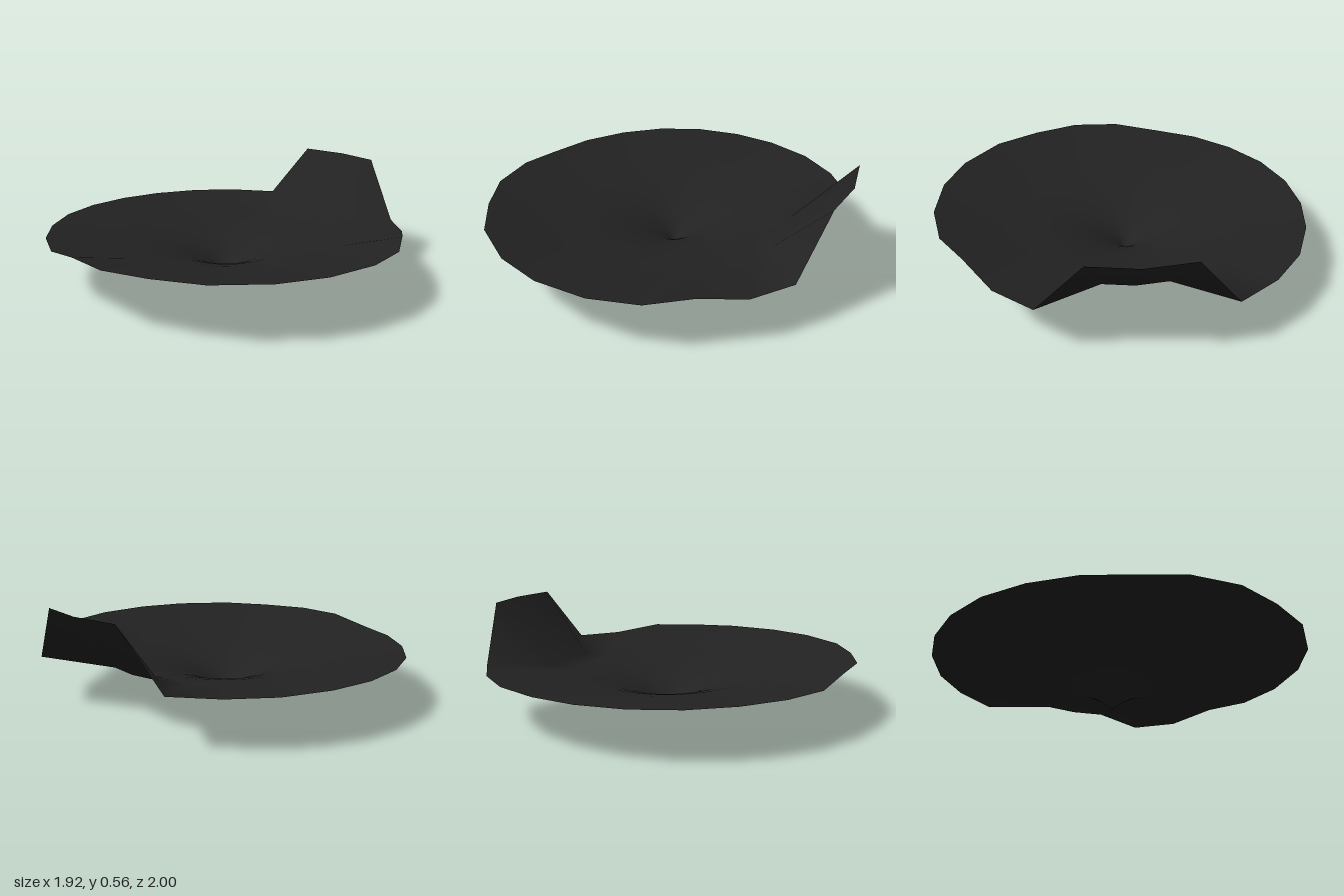
import * as THREE from 'three';

// Rim outline as [x, y, z], running round from the back centre past +x
const LOW = 0.255, LIP = 0.29, FLAP = 0.555;
const RIM = [
  [0, LOW, -1], [0.26, LOW, -0.97], [0.49, LOW, -0.87], [0.69, LOW, -0.71],
  [0.83, FLAP, -0.52], [0.93, FLAP, -0.28], [0.96, FLAP, -0.03],
  [0.93, LOW, 0.22], [0.83, LOW, 0.45], [0.67, 0.297, 0.65],
  [0.51, LIP, 0.83], [0.28, LIP, 0.95], [0, LIP, 1], [-0.26, LIP, 0.97],
  [-0.53, LIP, 0.85], [-0.72, LIP, 0.66], [-0.87, LIP, 0.45], [-0.93, LIP, 0.2],
  [-0.96, LOW, -0.05], [-0.92, LOW, -0.3], [-0.82, LOW, -0.53],
  [-0.67, LOW, -0.73], [-0.47, LOW, -0.88], [-0.24, LOW, -0.97],
];
// Inner rings as [fraction of the rim radius, height]
const RINGS = [
  [0.03, 0.026], [0.07, 0.056], [0.13, 0.09], [0.21, 0.124],
  [0.31, 0.155], [0.42, 0.18], [0.54, 0.2], [0.66, 0.217],
];
const CENTRE_Z = -0.04;

function bowlGeometry() {
  const n = RIM.length;
  const positions = [0, 0, CENTRE_Z];
  for (const [t, y] of RINGS) {
    for (const [x, , z] of RIM) positions.push(x * t, y, CENTRE_Z + (z - CENTRE_Z) * t);
  }
  for (const p of RIM) positions.push(...p);

  const index = [];
  for (let i = 0; i < n; i++) {
    const j = (i + 1) % n;
    index.push(0, 1 + j, 1 + i); // fan at the pointed centre
    for (let r = 0; r < RINGS.length; r++) {
      const a = 1 + r * n + i, b = 1 + r * n + j; // inner pair
      const c = a + n, d = b + n; // outer pair
      // Split each quad from its lower outer corner, so the flap folds cleanly
      if (RIM[i][1] < RIM[j][1]) index.push(a, b, c, b, d, c);
      else index.push(a, d, c, a, b, d);
    }
  }
  const geometry = new THREE.BufferGeometry();
  geometry.setAttribute('position', new THREE.Float32BufferAttribute(positions, 3));
  geometry.setIndex(index);
  geometry.computeVertexNormals();
  return geometry;
}

export function createModel() {
  const group = new THREE.Group();
  group.name = 'flaredLeafBowl';
  const charcoal = new THREE.MeshStandardMaterial({ color: 0x222222, side: THREE.DoubleSide });
  charcoal.name = 'charcoal';

  // Thin dished sheet with a raised flap on its left edge
  const bowl = new THREE.Mesh(bowlGeometry(), charcoal);
  bowl.name = 'bowl';
  group.add(bowl);
  return group;
}
